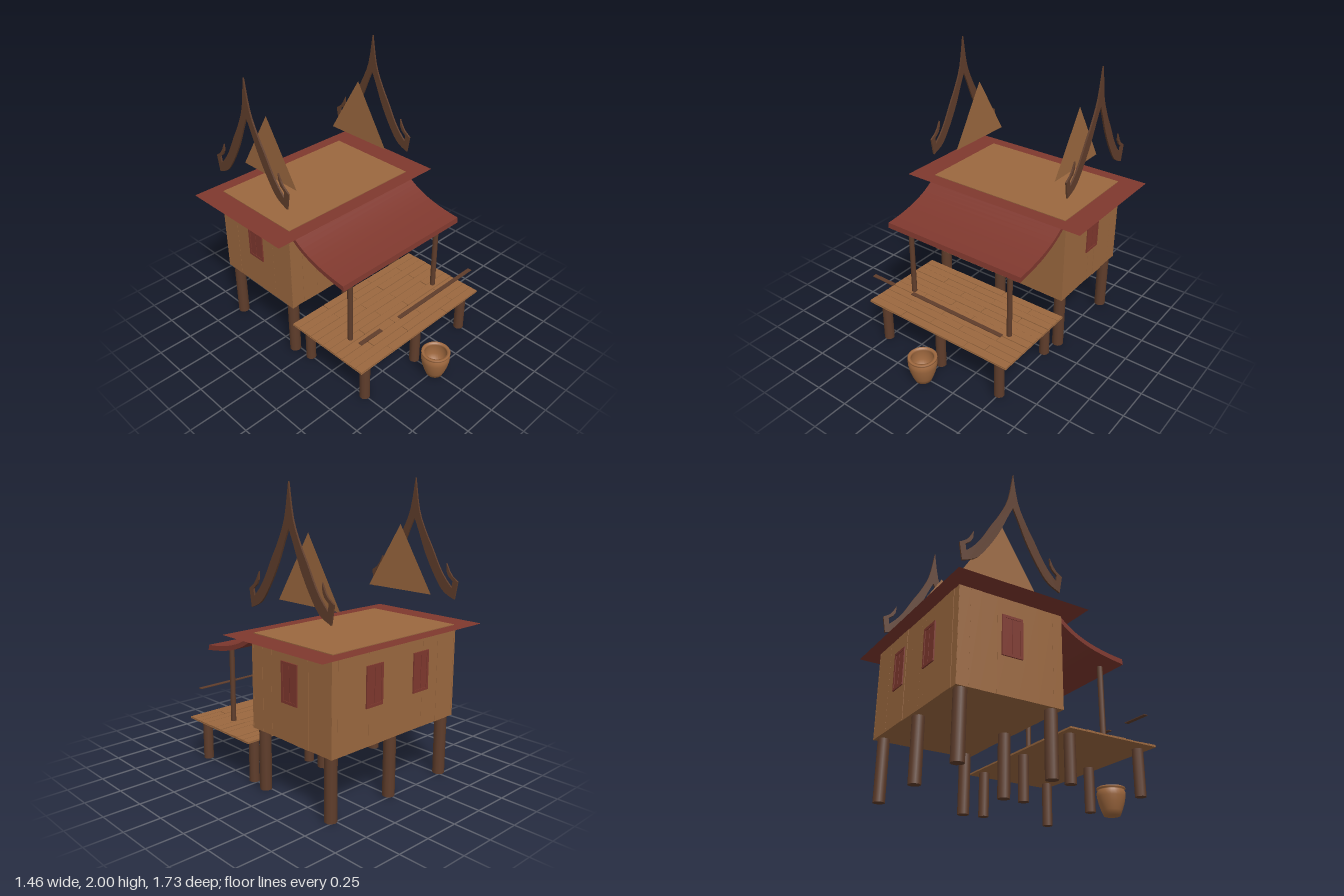
import * as THREE from 'three';

const mat = (name, color) => {
  const m = new THREE.MeshStandardMaterial({ color, side: THREE.DoubleSide });
  m.name = name;
  return m;
};

export function createModel() {
  const wood = mat('warm wood', 0x9b683f);
  const dark = mat('dark timber', 0x5f3d2b);
  const red = mat('red paint', 0x7f382e);
  const shade = mat('deep red', 0x6b2b25);
  const gap = mat('plank gap', 0x3d2616);
  const clay = mat('clay', 0xa0693f);

  const model = new THREE.Group();
  model.name = 'stiltHouse';
  const CZ = -0.4175; // centre line of the house in z

  let seed = 7;
  const rand = () => (seed = (seed * 16807) % 2147483647) / 2147483647;

  const add = (parent, name, geo, material, x = 0, y = 0, z = 0) => {
    const m = new THREE.Mesh(geo, material);
    m.name = name;
    m.position.set(x, y, z);
    parent.add(m);
    return m;
  };
  const box = (parent, name, material, w, h, d, x, y, z) =>
    add(parent, name, new THREE.BoxGeometry(w, h, d), material, x, y, z);
  const post = (name, r, y0, y1, x, z) =>
    add(model, name, new THREE.CylinderGeometry(r, r, y1 - y0, 10), dark, x, (y0 + y1) / 2, z);
  const group = (name, x, z, ry) => {
    const g = new THREE.Group();
    g.name = name;
    g.position.set(x, 0, z);
    g.rotation.y = ry;
    model.add(g);
    return g;
  };

  // House core, showing as a flat top above the eaves
  box(model, 'houseBody', wood, 1.12, 0.633, 0.713, 0, 0.7385, CZ);

  // Walls: vertical boards of slightly uneven depth; local +z faces outwards
  const wall = (name, length, x, z, ry) => {
    const g = group(name, x, z, ry);
    let a = -length / 2;
    while (a < length / 2 - 0.001) {
      let w = 0.035 + rand() * 0.12;
      if (a + w > length / 2 - 0.03) w = length / 2 - a;
      const t = 0.009 + rand() * 0.005;
      box(g, 'wallBoard', wood, w, 0.626, t, a + w / 2, 0.735, -0.012 + t / 2);
      a += w;
    }
    return g;
  };
  const front = wall('frontWall', 1.14, 0, -0.055, 0);
  const back = wall('backWall', 1.14, 0, -0.78, Math.PI);
  const sideL = wall('leftWall', 0.725, 0.57, CZ, Math.PI / 2);
  const sideR = wall('rightWall', 0.725, -0.57, CZ, -Math.PI / 2);

  // Framed openings with a pair of recessed leaves
  const opening = (g, name, w, y0, y1, x) => {
    const h = y1 - y0, y = (y0 + y1) / 2, f = 0.018;
    for (const s of [-1, 1]) {
      box(g, name + 'Jamb', red, f, h, 0.009, x + s * (w - f) / 2, y, 0.0045);
      box(g, name + 'Rail', red, w - 2 * f, f, 0.009, x, y + s * (h - f) / 2, 0.0045);
      const lw = w / 2 - f - 0.002;
      box(g, name + 'Leaf', red, lw, h - 2 * f, 0.004, x + s * (lw / 2 + 0.002), y, 0.0035);
    }
    box(g, name + 'Backing', shade, w - 2 * f, h - 2 * f, 0.003, x, y, 0.0015);
  };
  opening(front, 'door', 0.195, 0.475, 0.935, 0);
  for (const x of [-0.215, 0.215]) opening(back, 'backWindow', 0.145, 0.67, 0.935, x);
  for (const g of [sideL, sideR]) opening(g, 'sideWindow', 0.145, 0.67, 0.935, 0);

  // Flat eaves sheet around the top of the walls
  const eaves = new THREE.PlaneGeometry(1.46, 0.91).rotateX(-Math.PI / 2);
  add(model, 'eaves', eaves, red, 0, 1.05, CZ + 0.0025);

  // Stilts under house and deck
  for (const x of [-0.52, 0, 0.52])
    for (const z of [-0.113, -0.725]) post('houseStilt', 0.041, 0, 0.43, x, z);
  for (const x of [-0.5, 0, 0.5])
    for (const z of [0.035, 0.572]) post('deckStilt', 0.036, 0, 0.308, x, z);

  // Deck: rows of staggered planks on a thin base
  box(model, 'deckBase', wood, 1.2, 0.003, 0.67, 0, 0.3075, 0.305);
  const gaps = add(model, 'deckGaps', new THREE.PlaneGeometry(1.19, 0.66).rotateX(-Math.PI / 2), gap, 0, 0.3105, 0.305);
  gaps.renderOrder = 0;
  const rows = 11, pitch = 0.67 / rows;
  for (let i = 0; i < rows; i++) {
    const z = -0.03 + (i + 0.5) * pitch;
    const cuts = i === 10 ? [-0.6, -0.3, 0.25, 0.6]
      : i % 2 ? [-0.6, -0.125 + rand() * 0.05, 0.385, 0.6] : [-0.6, -0.365 + rand() * 0.05, 0.115, 0.6];
    for (let k = 0; k < cuts.length - 1; k++) {
      const h = 0.009 + rand() * 0.004;
      box(model, 'deckPlank', wood, cuts[k + 1] - cuts[k] - 0.004, h, pitch - 0.004,
        (cuts[k] + cuts[k + 1]) / 2, 0.308 + h / 2, z);
    }
  }

  // Handrail pieces along the deck front
  box(model, 'shortRail', dark, 0.19, 0.005, 0.03, -0.478, 0.523, 0.6);
  box(model, 'longRail', dark, 0.75, 0.005, 0.03, 0.162, 0.523, 0.6);

  // Porch posts and sagging porch roof
  for (const x of [-0.425, 0.425]) post('porchPost', 0.019, 0.31, 0.87, x, 0.36);
  const v = (a) => a.map(([x, y]) => new THREE.Vector2(x, y));
  const top = new THREE.SplineCurve(v([[0.05, 1.05], [0, 1.01], [-0.08, 0.963], [-0.19, 0.922], [-0.32, 0.894], [-0.438, 0.88]]));
  const under = new THREE.SplineCurve(v([[-0.444, 0.843], [-0.32, 0.861], [-0.19, 0.889], [-0.08, 0.93], [0, 0.974], [0.05, 1.013]]));
  const roofShape = new THREE.Shape([...top.getPoints(14), ...under.getPoints(14)]);
  const roofGeo = new THREE.ExtrudeGeometry(roofShape, { depth: 1.12, bevelEnabled: false });
  roofGeo.translate(0, 0, -0.56).rotateY(Math.PI / 2);
  add(model, 'porchRoof', roofGeo, red);

  // Gable bargeboards with upswept hooks, mirrored about the ridge
  const outer = new THREE.SplineCurve(v([[0, 2], [0.037, 1.79], [0.1, 1.645], [0.155, 1.55], [0.223, 1.425], [0.276, 1.35], [0.329, 1.295]])).getPoints(18);
  const hook = v([[0.336, 1.34], [0.3, 1.37], [0.285, 1.4], [0.281, 1.453], [0.305, 1.405], [0.33, 1.372], [0.376, 1.34]]);
  const inner = new THREE.SplineCurve(v([[0.355, 1.22], [0.26, 1.267], [0.18, 1.37], [0.1, 1.51], [0.037, 1.655], [0, 1.735]])).getPoints(18);
  const half = [...outer, ...hook, ...inner];
  const mirror = half.slice(1, -1).reverse().map((p) => new THREE.Vector2(-p.x, p.y));
  const boardGeo = new THREE.ExtrudeGeometry(new THREE.Shape([...half, ...mirror]), { depth: 0.012, bevelEnabled: false });
  boardGeo.translate(0, 0, -0.006).rotateY(Math.PI / 2);
  const gableGeo = new THREE.ShapeGeometry(new THREE.Shape(v([[-0.272, 1.26], [0.272, 1.26], [0, 1.7]])));
  gableGeo.rotateY(Math.PI / 2);
  for (const s of [-1, 1]) {
    add(model, 'bargeboard', boardGeo, dark, s * 0.562, 0, -0.413);
    add(model, 'gablePanel', gableGeo, wood, s * 0.415, 0, -0.413);
  }

  // Open water jar
  const jar = v([[0, 0], [0.057, 0], [0.072, 0.035], [0.089, 0.085], [0.098, 0.13], [0.1, 0.155], [0.094, 0.172],
    [0.093, 0.178], [0.1, 0.184], [0.1, 0.192], [0.094, 0.196], [0.08, 0.194], [0.076, 0.18], [0.086, 0.15],
    [0.08, 0.1], [0.062, 0.04], [0, 0.035]]);
  add(model, 'waterJar', new THREE.LatheGeometry(jar, 28), clay, 0, 0, 0.76);

  return model;
}
